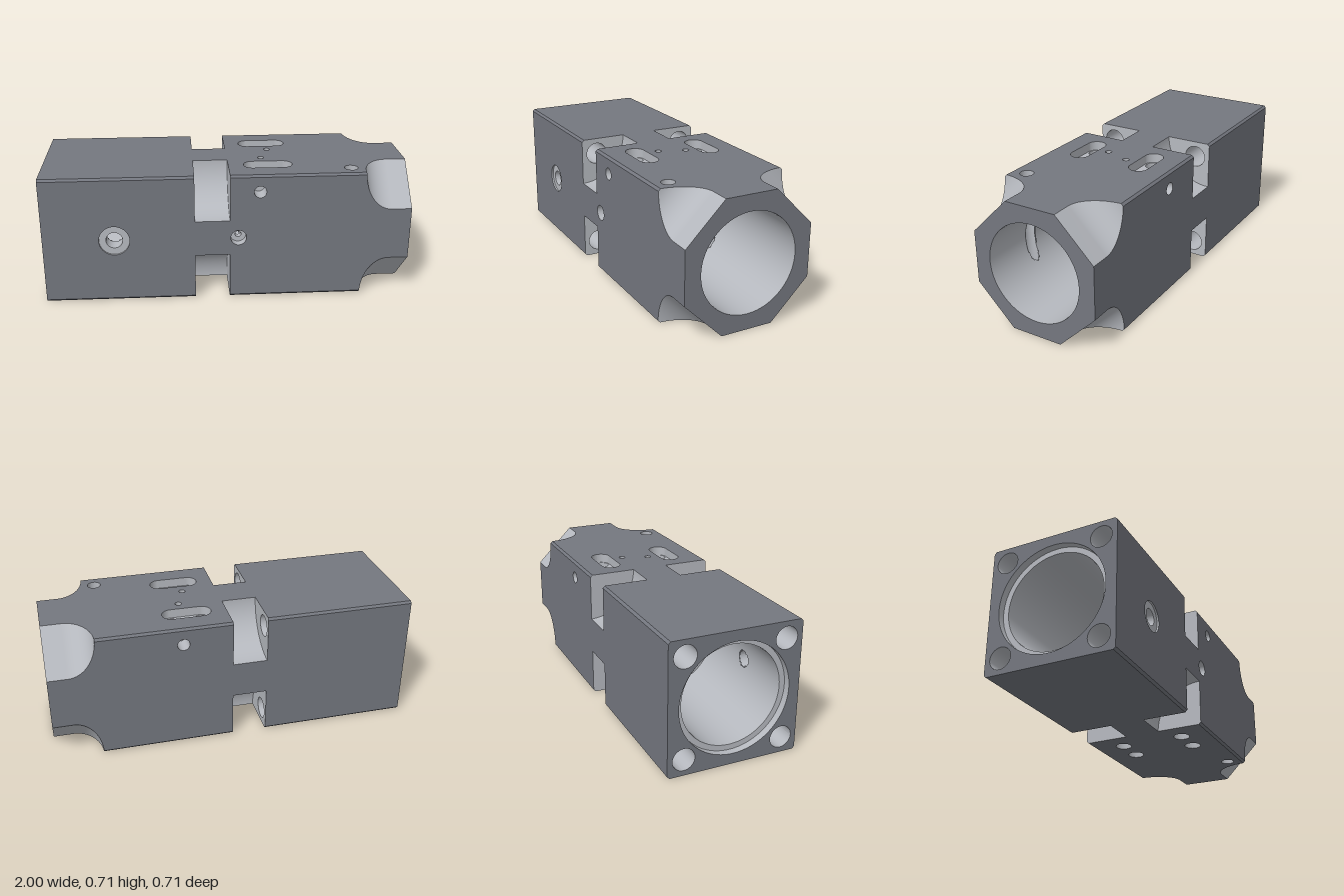
import * as THREE from 'three';

const H = 0.3575;            // half of the square section
const W = H - 0.012;         // where the edge chamfer starts
const N0 = -0.18, N1 = 0.01; // notch range along x
const NR = 0.2575;           // notch radius, centred on the corner
const END_R = 0.15, END_X = 0.89;
const CORNER = H * Math.SQRT2;
const ROD = 0.27, ROD_R = 0.06;
const BORE = [[-1, 0.3], [-0.96, 0.3], [-0.96, 0.27], [-0.25, 0.27], [-0.25, 0.1875], [0.03, 0.1875], [0.03, 0.27], [1, 0.27]];

// dark outer faces, light machined surfaces
const dark = new THREE.MeshStandardMaterial({ color: 0x74777f, side: THREE.DoubleSide });
const light = new THREE.MeshStandardMaterial({ color: 0xb6b9bf, side: THREE.DoubleSide });

function add(parent, name, geometry, material = light) {
  const mesh = new THREE.Mesh(geometry, material);
  mesh.name = name;
  parent.add(mesh);
  return mesh;
}

// Grid surface: fn(i, j) gives [x, y, z]; keep() may drop cells
function sheet(nu, nv, fn, keep = () => true) {
  const pos = [], index = [];
  for (let i = 0; i <= nu; i++) for (let j = 0; j <= nv; j++) pos.push(...fn(i, j));
  for (let i = 0; i < nu; i++) for (let j = 0; j < nv; j++) {
    if (!keep(...fn(i + 0.5, j + 0.5))) continue;
    const a = i * (nv + 1) + j, b = a + nv + 1;
    index.push(a, b, b + 1, a, b + 1, a + 1);
  }
  const g = new THREE.BufferGeometry();
  g.setAttribute('position', new THREE.Float32BufferAttribute(pos, 3));
  g.setIndex(index);
  g.computeVertexNormals();
  return g;
}

const vec = (a) => a.map(([x, y]) => new THREE.Vector2(x, y));

function plate(pts, holes = []) {
  const shape = new THREE.Shape(vec(pts));
  shape.holes = holes.map((h) => new THREE.Path(vec(h)));
  return new THREE.ShapeGeometry(shape);
}

// Circle, or a slot when half > 0
function outline(x, t, r, half = 0, n = 40) {
  return Array.from({ length: n }, (_, i) => {
    const a = ((i + 0.5) / n) * Math.PI * 2, c = Math.cos(a);
    return [x + Math.sign(c) * half + r * c, t + r * Math.sin(a)];
  });
}

// Hole description; without a depth it runs on into the bore or right through
const hole = (x, t, r, depth = null, inner = [], half = 0) => ({ x, t, r, depth, inner, half, pts: outline(x, t, r, half) });
const slot = (t) => hole(0.2275, t, 0.053, 0.05, [hole(0.145, t, 0.045), hole(0.31, t, 0.045)], 0.081);

// Holes of the front, top, back and bottom faces
const FACES = [
  ['front', [hole(-0.615, 0, 0.083, 0.01, [hole(-0.615, 0, 0.045)]),
    hole(0.057, 0, 0.043, 0.05, [hole(0.057, 0, 0.017)]), hole(0.172, 0.2625, 0.033, 0.1)]],
  ['top', [slot(0.185), slot(-0.185), hole(0.25, 0.072, 0.018, 0.06), hole(0.2, -0.07, 0.018, 0.06), hole(0.672, -0.268, 0.037)]],
  ['back', [hole(0.28, -0.2625, 0.033, 0.1)]],
  ['bottom', [...[-0.185, 0.185].flatMap((t) => [0.145, 0.31].map((x) => hole(x, t, 0.045))), hole(0.672, 0.268, 0.037)]],
];

function boreRadius(x) {
  for (let i = 0; i < BORE.length - 1; i += 2) if (x <= BORE[i + 1][0]) return BORE[i][1];
  return 0;
}

// Wall, floor and nested holes of one pocket
function pocket(parent, h, z0) {
  const n = h.pts.length;
  const bottom = (x, t) => (h.depth !== null ? z0 - h.depth : Math.sqrt(Math.max(0, boreRadius(x) ** 2 - t * t)));
  const steps = 4;
  add(parent, 'holeWall', sheet(n, steps, (i, j) => {
    const [x, t] = h.pts[Math.floor(i) % n];
    return [x, t, z0 + (bottom(x, t) - z0) * j / steps];
  }));
  if (h.depth === null) return;
  add(parent, 'holeFloor', plate(h.pts, h.inner.map((c) => c.pts))).position.z = z0 - h.depth;
  h.inner.forEach((c) => pocket(parent, c, z0 - h.depth));
}

// End relief path: [x, distance from axis along the diagonal]
const reliefPath = [];
const A0 = Math.asin((H - W) / Math.SQRT2 / END_R);
for (let i = 0; i <= 20; i++) {
  const a = A0 + (Math.PI / 2 - A0) * i / 20;
  reliefPath.push([END_X - END_R * Math.cos(a), CORNER - END_R * Math.sin(a)]);
}
reliefPath.push([1, CORNER - END_R]);
const reliefT = (d) => d * Math.SQRT2 - H;

function sidePlate(holes) {
  const edge = [[-1, W], [N0, W], [N0, H - NR], [N1, H - NR], [N1, W], ...reliefPath.map(([x, d]) => [x, reliefT(d)])];
  const mirrored = edge.map(([x, t]) => [x, -t]).reverse();
  return plate([...edge, ...mirrored], holes.map((h) => h.pts));
}

// Point on the notch arc: [y, z]
const notchArc = (a) => [H - NR * Math.cos(a), H - NR * Math.sin(a)];

function corner(parent) {
  // long edge chamfers
  for (const [a, b] of [[-1, N0], [N1, reliefPath[0][0]]]) {
    add(parent, 'edgeChamfer', sheet(1, 1, (i, j) => [a + (b - a) * i, W + (H - W) * j, H + (W - H) * j]), dark);
  }
  // concave notch floor
  add(parent, 'notchFloor', sheet(1, 32, (i, j) => [N0 + (N1 - N0) * i, ...notchArc(j / 32 * Math.PI / 2)]));
  // notch side walls, the rod hole opening through the first
  for (const [x, s] of [[N0, -1], [N1, 1]]) {
    const pts = Array.from({ length: 33 }, (_, j) => notchArc(j / 32 * Math.PI / 2)).map(([y, z]) => [s * z, y]);
    pts.push([s * W, H], [s * H, W]);
    const wall = add(parent, 'notchWall', plate(pts, s < 0 ? [outline(-ROD, ROD, ROD_R)] : []));
    wall.rotation.y = -s * Math.PI / 2;
    wall.position.x = x;
  }
  // rod hole from the left end to the notch
  add(parent, 'rodHole', sheet(1, 40, (i, j) => {
    const a = (j + 0.5) / 40 * Math.PI * 2;
    return [-1 + (N0 + 1) * i, ROD + ROD_R * Math.cos(a), ROD + ROD_R * Math.sin(a)];
  }));
  // scooped relief at the right end
  add(parent, 'endRelief', sheet(reliefPath.length - 1, 1, (i, j) => {
    const [x, d] = reliefPath[Math.floor(i)], t = reliefT(d);
    return [x, t + (H - t) * j, H + (t - H) * j];
  }));
}

// Square with cut corners, w being where each cut starts
const cutSquare = (w) => [[H, -w], [H, w], [w, H], [-w, H], [-H, w], [-H, -w], [-w, -H], [w, -H]];

export function createModel() {
  const model = new THREE.Group();
  const body = new THREE.Group();
  body.name = 'body';
  body.position.y = H;
  model.add(body);

  // four sides with their holes and corners
  FACES.forEach(([name, holes], k) => {
    const side = new THREE.Group();
    side.name = name + 'Side';
    side.rotation.x = -k * Math.PI / 2;
    add(side, name + 'Face', sidePlate(holes), dark).position.z = H;
    holes.forEach((h) => pocket(side, h, H));
    corner(side);
    body.add(side);
  });

  // end faces
  const rods = [-1, 1].flatMap((a) => [-1, 1].map((b) => outline(a * ROD, b * ROD, ROD_R)));
  const left = add(body, 'leftEndFace', plate(cutSquare(W), [outline(0, 0, BORE[0][1], 0, 128), ...rods]), dark);
  left.rotation.y = -Math.PI / 2;
  left.position.x = -1;
  const right = add(body, 'rightEndFace', plate(cutSquare(reliefT(CORNER - END_R)), [outline(0, 0, BORE[7][1], 0, 128)]), dark);
  right.rotation.y = Math.PI / 2;
  right.position.x = 1;

  // stepped bore, opened where side holes break into it
  const openings = FACES.flatMap(([, holes], k) => holes.flatMap((h) => [h, ...h.inner])
    .filter((h) => h.depth === null).map((h) => ({ ...h, k })));
  const keep = (x, y, z) => !openings.some(({ x: hx, t, r, k }) => {
    const [lt, lz] = [[y, z], [-z, y], [-y, -z], [z, -y]][k];
    return lz > 0 && Math.hypot(x - hx, lt - t) < r;
  });
  for (let s = 0; s < BORE.length - 1; s++) {
    const [[x0, r0], [x1, r1]] = [BORE[s], BORE[s + 1]];
    const n = Math.max(1, Math.round((x1 - x0) / 0.008));
    add(body, x0 === x1 ? 'boreStep' : 'boreWall', sheet(n, 128, (i, j) => {
      const a = (j + 0.5) / 128 * Math.PI * 2, r = r0 + (r1 - r0) * i / n;
      return [x0 + (x1 - x0) * i / n, r * Math.cos(a), r * Math.sin(a)];
    }, keep));
  }
  return model;
}
